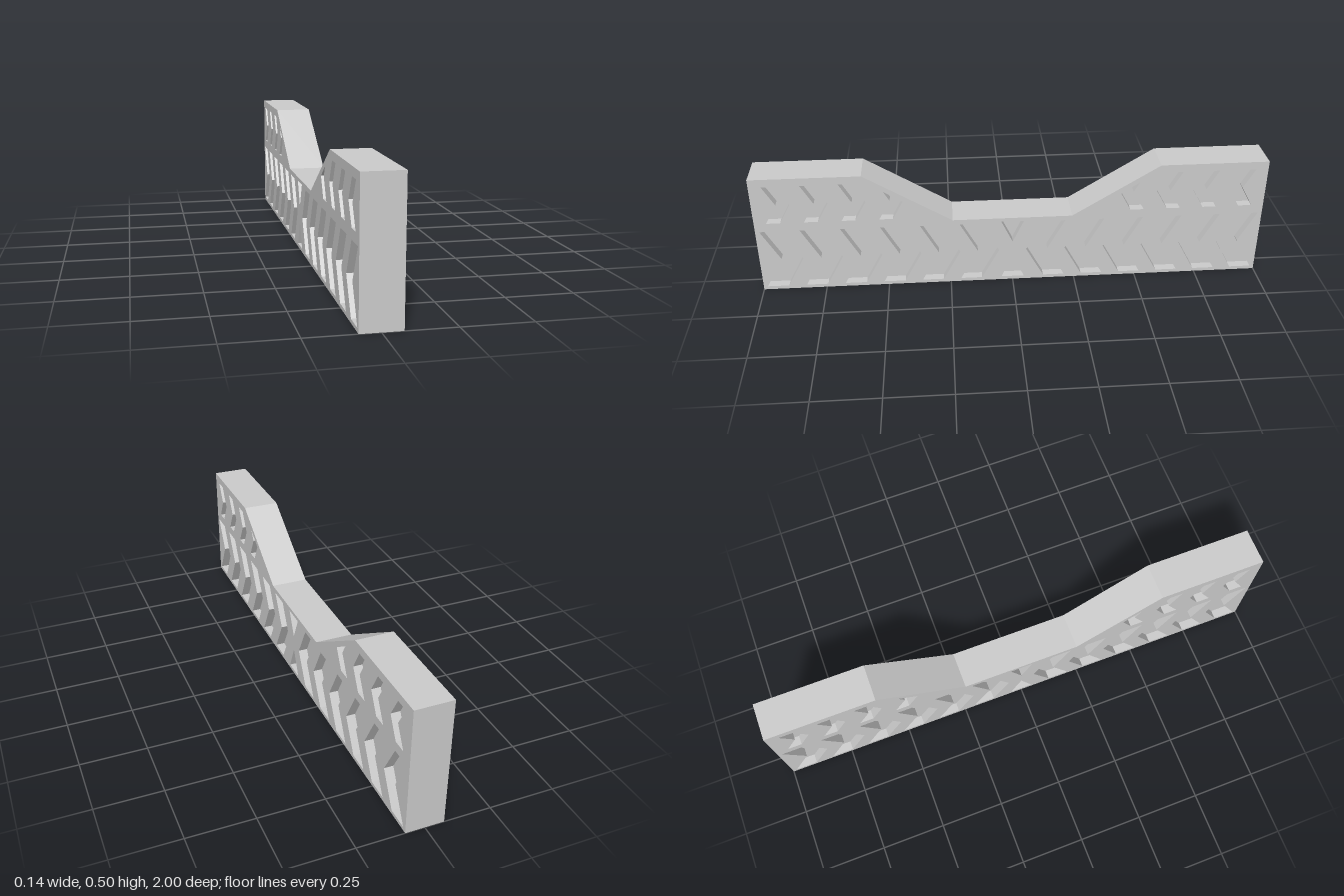
import * as THREE from 'three';
import { mergeGeometries } from 'three/addons/utils/BufferGeometryUtils.js';

const HALF = 0.0725;   // half thickness
const FLOOR = 0.0375;  // distance of the pocket floors from the middle plane
const material = new THREE.MeshStandardMaterial({ color: 0xcccccc, flatShading: true });

const toPoints = (list) => list.map(([u, y]) => new THREE.Vector2(u, y));
const mirror = (list) => list.map(([u, y]) => [-u, y]);

// Band of quads along a closed outline; faces outward, or inward for a pocket
function wall(list, w0, w1, inward = false) {
  const pts = toPoints(list);
  if (THREE.ShapeUtils.isClockWise(pts) !== inward) pts.reverse();
  const pos = [];
  pts.forEach((a, i) => {
    const b = pts[(i + 1) % pts.length];
    pos.push(a.x, a.y, w0, b.x, b.y, w0, b.x, b.y, w1);
    pos.push(a.x, a.y, w0, b.x, b.y, w1, a.x, a.y, w1);
  });
  const geo = new THREE.BufferGeometry();
  geo.setAttribute('position', new THREE.Float32BufferAttribute(pos, 3));
  geo.computeVertexNormals();
  return geo;
}

// Flat panel at depth w, with optional holes
function panel(list, w, holes = []) {
  const shape = new THREE.Shape(toPoints(list));
  shape.holes = holes.map((h) => new THREE.Path(toPoints(h)));
  const geo = new THREE.ShapeGeometry(shape).toNonIndexed();
  geo.deleteAttribute('uv');
  return geo.translate(0, 0, w);
}

// Chevron whose tip points toward the middle of the barrier
function chevron(u, y0, y1, width, reach) {
  const ym = (y0 + y1) / 2;
  return [
    [u, y0], [u - width, y0], [u - width - reach, ym],
    [u - width, y1], [u, y1], [u - reach, ym],
  ];
}

function pocketOutlines() {
  const half = [];
  // lower row
  for (let i = 0; i < 6; i++) half.push(chevron(0.984 - i * 0.155, 0.014, 0.27, 0.085, 0.07));
  // upper row, the last one trimmed along the slope
  for (let i = 0; i < 3; i++) half.push(chevron(0.952 - i * 0.144, 0.307, 0.468, 0.053, 0.045));
  half.push([[0.519, 0.307], [0.466, 0.307], [0.425, 0.382], [0.497, 0.429], [0.474, 0.388]]);
  // two triangles in the middle
  const middle = [
    [[-0.045, 0.275], [0.045, 0.275], [0, 0.18]],
    [[-0.045, 0.014], [0.045, 0.014], [0, 0.115]],
  ];
  return [...half, ...half.map(mirror), ...middle];
}

export function createModel() {
  const model = new THREE.Group();
  model.name = 'notchedBar';

  const profile = [
    [-1, 0], [1, 0], [1, 0.5], [0.575, 0.5], [0.235, 0.29],
    [-0.235, 0.29], [-0.575, 0.5], [-1, 0.5],
  ];
  const pockets = pocketOutlines();

  const add = (name, geometry, angle) => {
    const mesh = new THREE.Mesh(geometry, material);
    mesh.name = name;
    mesh.rotation.y = angle;
    model.add(mesh);
  };

  // top, bottom, ends and slopes
  add('rim', wall(profile, -HALF, HALF), Math.PI / 2);

  // the two broad sides with their recessed chevrons
  const face = panel(profile, HALF, pockets);
  const recesses = mergeGeometries(pockets.flatMap((p) => [
    wall(p, FLOOR, HALF, true),
    panel(p, FLOOR),
  ]));
  for (const [side, angle] of [['left', Math.PI / 2], ['right', -Math.PI / 2]]) {
    add(side + 'Face', face, angle);
    add(side + 'Recesses', recesses, angle);
  }
  return model;
}
